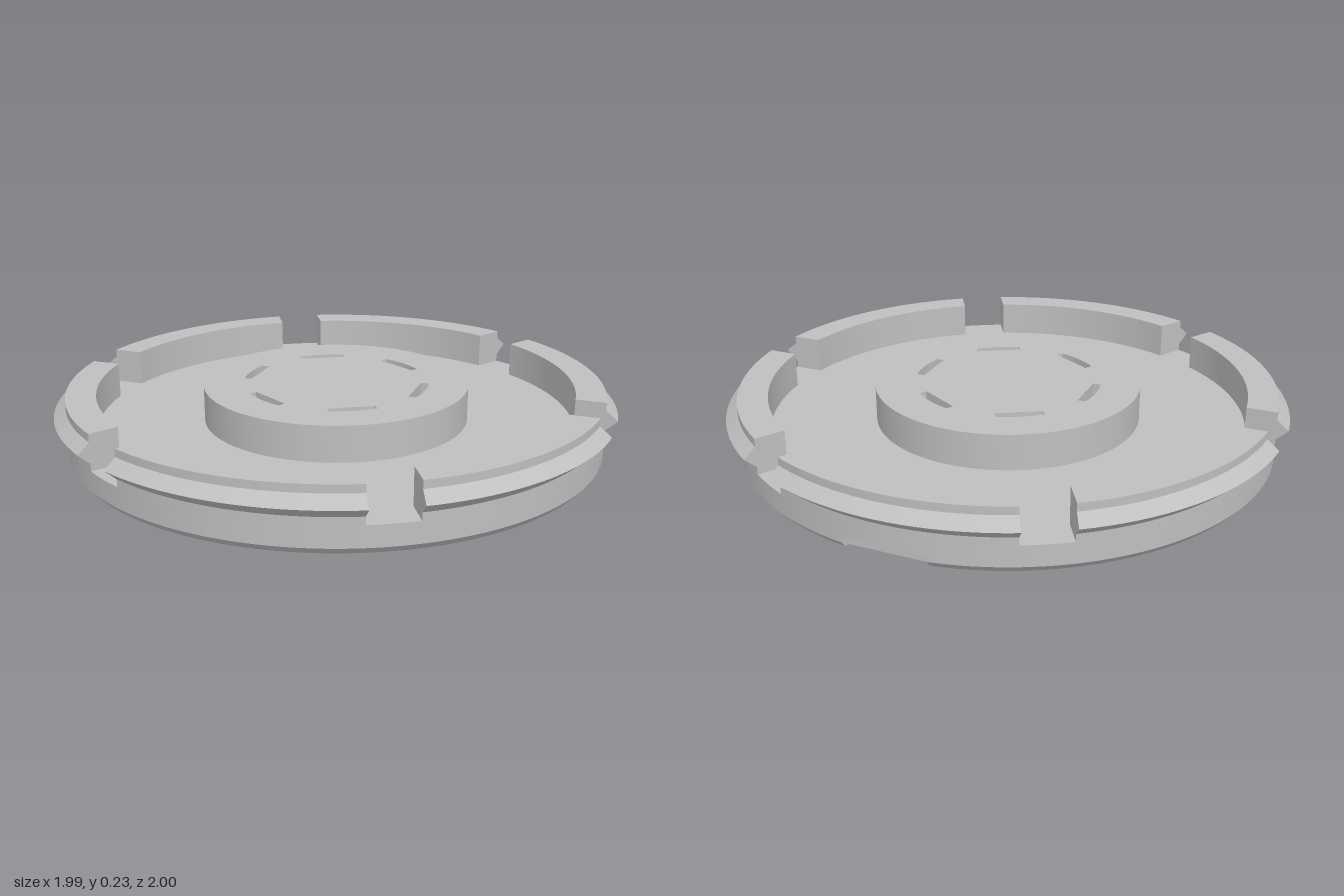
import * as THREE from 'three';
import { toCreasedNormals } from 'three/addons/utils/BufferGeometryUtils.js';

const R = 0.958, SLAB = 0.098, TOP = 0.226, SPLIT = 0.05;
const V = (x, y) => new THREE.Vector2(x, y);

// Extrude a plan shape upwards from height y
function extrudeUp(shape, y, depth, steps = 1) {
  const geo = new THREE.ExtrudeGeometry(shape, { depth, steps, bevelEnabled: false, curveSegments: 96 });
  return geo.rotateX(-Math.PI / 2).translate(0, y, 0);
}

// Lower slab: open notch at the back rim, closed pocket near the front, chamfered bottom edge
function lowerSlab() {
  const half = 0.145, a = Math.asin(half / R);
  const shape = new THREE.Shape();
  shape.absarc(0, 0, R, Math.PI / 2 + a, Math.PI * 2.5 - a, false);
  shape.lineTo(half, 0.91);
  shape.lineTo(-half, 0.91);
  shape.closePath();
  shape.holes.push(new THREE.Path([V(-half, -0.795), V(half, -0.795), V(half, -0.905), V(-half, -0.905)]));
  const geo = extrudeUp(shape, 0, SPLIT, 2);
  const p = geo.attributes.position;
  for (let i = 0; i < p.count; i++) {
    const r = Math.hypot(p.getX(i), p.getZ(i));
    if (p.getY(i) < 0.001 && r > 0.945) {
      p.setX(i, p.getX(i) * 0.937 / r);
      p.setZ(i, p.getZ(i) * 0.937 / r);
    }
  }
  return toCreasedNormals(geo, 0.4);
}

// Central boss with six slots, flat inside and curved outside
function bossGeometry() {
  const shape = new THREE.Shape().absarc(0, 0, 0.476, 0, Math.PI * 2, false);
  const arc = Math.asin(0.083 / 0.335);
  for (let k = 0; k < 6; k++) {
    const t = k * Math.PI / 3;
    const pts = [V(0.297, 0.083), V(0.297, -0.083)];
    for (let j = 0; j <= 8; j++) {
      const a = arc * (j / 4 - 1);
      pts.push(V(0.335 * Math.cos(a), 0.335 * Math.sin(a)));
    }
    shape.holes.push(new THREE.Path(pts.map(p => p.rotateAround(V(0, 0), t))));
  }
  return toCreasedNormals(extrudeUp(shape, SLAB, TOP - SLAB), 0.4);
}

// Rim segment: ridged profile swept between two parallel-sided gaps
function rimGeometry() {
  const inner = 0.852, gap = 0.083, n = 20;
  const profile = [V(inner, SLAB), V(R, SLAB), V(R, 0.125), V(1, 0.163), V(R, 0.198), V(R, TOP), V(inner, TOP)];
  const point = (i, j) => {
    const { x: r, y } = profile[i % profile.length];
    const start = Math.asin(gap / r);
    const t = start + (Math.PI / 3 - 2 * start) * j / n;
    return [r * Math.cos(t), y, r * Math.sin(t)];
  };
  const pos = [];
  for (let i = 0; i < profile.length; i++) {
    for (let j = 0; j < n; j++) {
      const a = point(i, j), b = point(i + 1, j), c = point(i + 1, j + 1), d = point(i, j + 1);
      pos.push(...a, ...b, ...c, ...a, ...c, ...d);
    }
  }
  for (const [a, b, c] of THREE.ShapeUtils.triangulateShape(profile, [])) {
    pos.push(...point(a, n), ...point(b, n), ...point(c, n));
    pos.push(...point(a, 0), ...point(c, 0), ...point(b, 0));
  }
  const geo = new THREE.BufferGeometry();
  geo.setAttribute('position', new THREE.Float32BufferAttribute(pos, 3));
  return toCreasedNormals(geo, 0.4);
}

export function createModel() {
  const group = new THREE.Group();
  group.name = 'roundCap';
  const grey = new THREE.MeshStandardMaterial({ color: 0xbfbfbf });
  grey.name = 'light grey';

  const add = (name, geo) => {
    const mesh = new THREE.Mesh(geo, grey);
    mesh.name = name;
    group.add(mesh);
    return mesh;
  };

  add('lowerSlab', lowerSlab());
  add('upperSlab', new THREE.CylinderGeometry(R, R, SLAB - SPLIT, 192)).position.y = (SLAB + SPLIT) / 2;
  add('centralBoss', bossGeometry());

  // Six snap segments around the edge
  const rim = rimGeometry();
  for (let k = 0; k < 6; k++) add('rimSegment' + (k + 1), rim).rotation.y = k * Math.PI / 3;

  return group;
}
